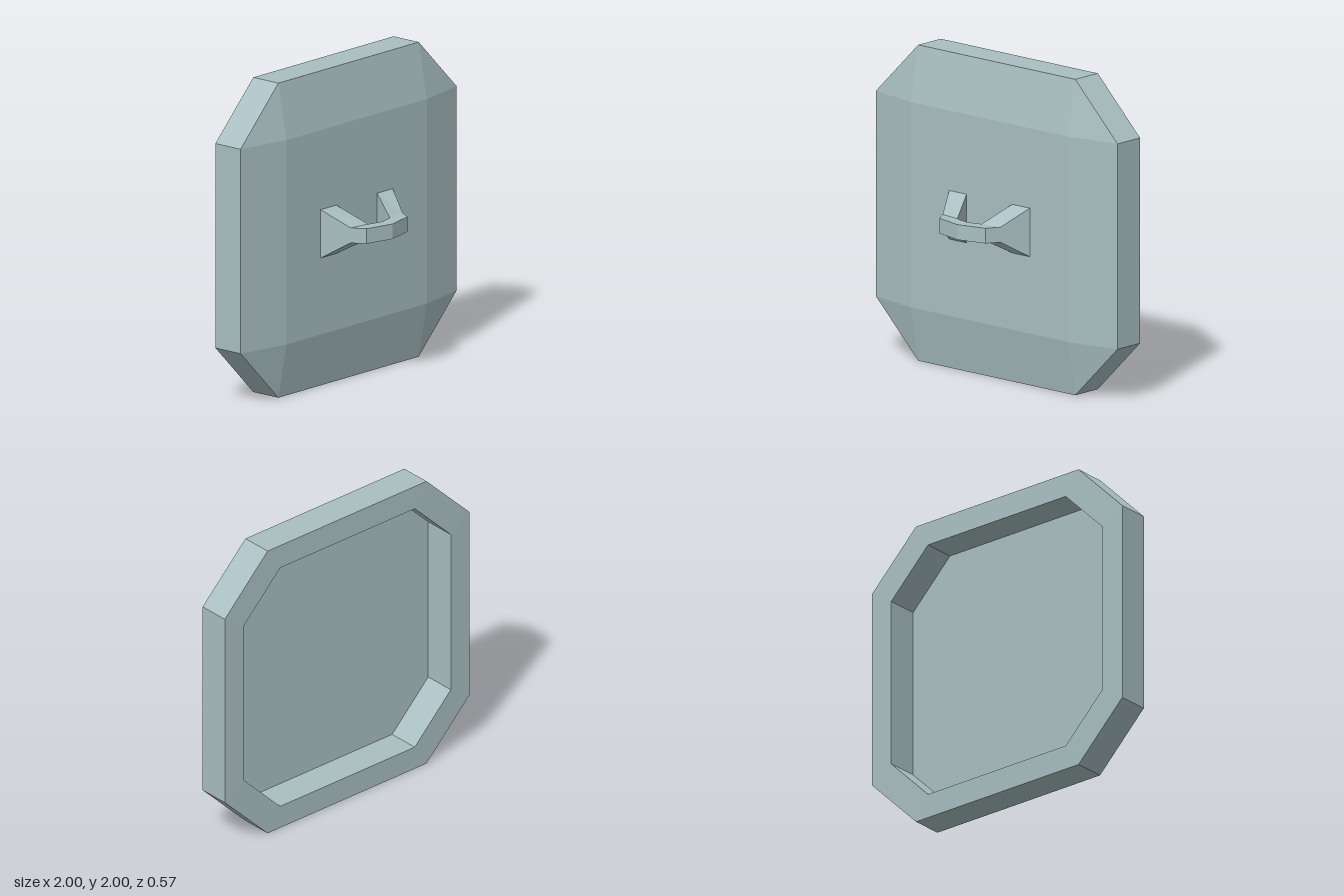
import * as THREE from 'three';

// Skin consecutive rings of points into a flat-shaded surface, optionally capping both ends.
function loft(rings, capped) {
  const pos = [];
  const tri = (a, b, c) => {
    const n = b.clone().sub(a).cross(c.clone().sub(a));
    if (n.lengthSq() < 1e-12) return; // collapsed corner
    for (const p of [a, b, c]) pos.push(p.x, p.y, p.z);
  };
  for (let r = 0; r < rings.length - 1; r++) {
    const A = rings[r], B = rings[r + 1], n = A.length;
    for (let i = 0; i < n; i++) {
      const j = (i + 1) % n;
      tri(A[i], B[i], B[j]);
      tri(A[i], B[j], A[j]);
    }
  }
  if (capped) {
    const first = rings[0], last = rings[rings.length - 1];
    for (let i = 1; i < first.length - 1; i++) {
      tri(first[0], first[i], first[i + 1]);
      tri(last[0], last[i + 1], last[i]);
    }
  }
  const g = new THREE.BufferGeometry();
  g.setAttribute('position', new THREE.Float32BufferAttribute(pos, 3));
  g.computeVertexNormals();
  return g;
}

// Chamfered square: h is the half width, c the half length of each straight side.
function octagon(h, c, z) {
  return [[h, -c], [h, c], [c, h], [-c, h], [-h, c], [-h, -c], [-c, -h], [c, -h]]
    .map(([x, y]) => new THREE.Vector3(x, y + 1, z));
}

export function createModel() {
  const group = new THREE.Group();
  const metal = new THREE.MeshStandardMaterial({ color: 0xa9bfc1, flatShading: true });
  metal.name = 'paleBlueGrey';

  // Panel: raised front face, bevel, side wall, back rim and recess
  const panel = new THREE.Mesh(loft([
    octagon(0.65, 0.65, -0.008),
    octagon(1, 0.65, -0.075),
    octagon(1, 0.65, -0.281),
    octagon(0.845, 0.55, -0.285),
    octagon(0.845, 0.55, -0.075),
  ], true), metal);
  panel.name = 'panel';
  group.add(panel);

  // Handle: sections as [outer x, outer z, inner x, inner z, half height]
  const half = [
    [0.335, -0.01, 0.19, -0.01, 0.155],
    [0.24, 0.155, 0.1, 0.175, 0.048],
    [0.19, 0.24, 0.1, 0.175, 0.048],
  ];
  const mirrored = half.map(([ox, oz, ix, iz, h]) => [-ox, oz, -ix, iz, h]).reverse();
  const sections = [...half, [0, 0.285, 0, 0.2, 0.048], ...mirrored];
  const handle = new THREE.Mesh(loft(sections.map(([ox, oz, ix, iz, h]) => [
    new THREE.Vector3(ix, 0.99 + h, iz),
    new THREE.Vector3(ox, 0.99 + h, oz),
    new THREE.Vector3(ox, 0.99 - h, oz),
    new THREE.Vector3(ix, 0.99 - h, iz),
  ]), false), metal);
  handle.name = 'handle';
  group.add(handle);

  return group;
}
